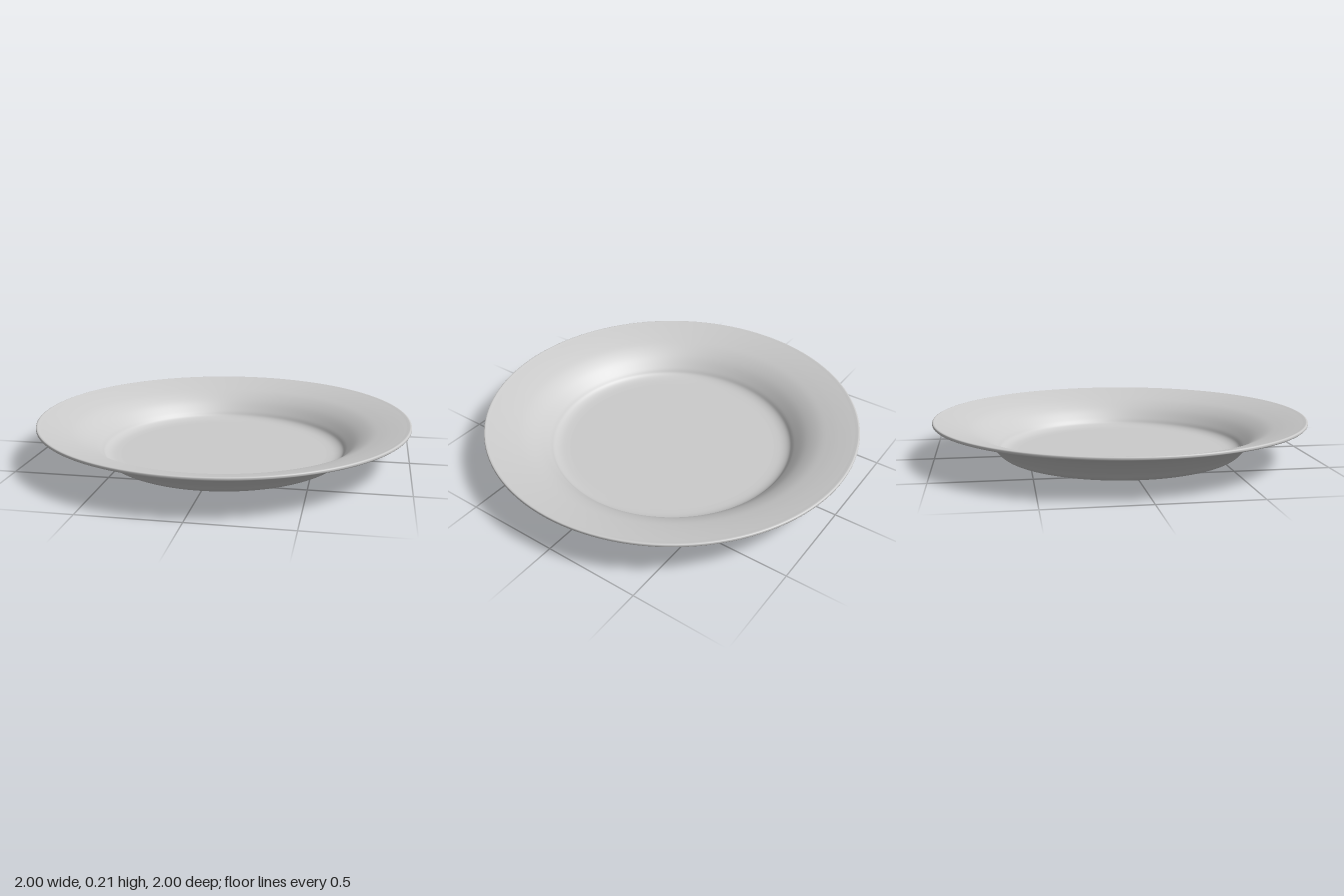
import * as THREE from 'three';

// Smooth curve through a few [radius, height] points
function smooth(points, divisions) {
  return new THREE.SplineCurve(points.map(([r, y]) => new THREE.Vector2(r, y))).getPoints(divisions);
}

export function createModel() {
  const group = new THREE.Group();
  group.name = 'plate';

  // Underside: flat base, curved wall, flared rim
  const underside = smooth([
    [0.56, 0], [0.61, 0.004], [0.65, 0.021], [0.685, 0.057], [0.74, 0.102],
    [0.8, 0.138], [0.87, 0.162], [0.94, 0.18], [0.99, 0.193],
  ], 40);

  // Rounded outer lip
  const lip = smooth([[0.996, 0.195], [1, 0.199], [1, 0.207], [0.997, 0.211], [0.99, 0.212]], 10);

  // Upper surface: rim, well wall, flat floor
  const upper = smooth([
    [0.98, 0.209], [0.93, 0.197], [0.86, 0.178], [0.79, 0.154], [0.725, 0.116],
    [0.67, 0.066], [0.645, 0.037], [0.61, 0.023], [0.56, 0.019],
  ], 40);

  const profile = [
    new THREE.Vector2(0, 0), new THREE.Vector2(0.5, 0),
    ...underside, ...lip, ...upper,
    new THREE.Vector2(0.5, 0.019), new THREE.Vector2(0, 0.019),
  ];

  const dish = new THREE.Mesh(
    new THREE.LatheGeometry(profile, 128),
    new THREE.MeshStandardMaterial({ color: 0xcccccc }),
  );
  dish.name = 'dish';
  group.add(dish);
  return group;
}
